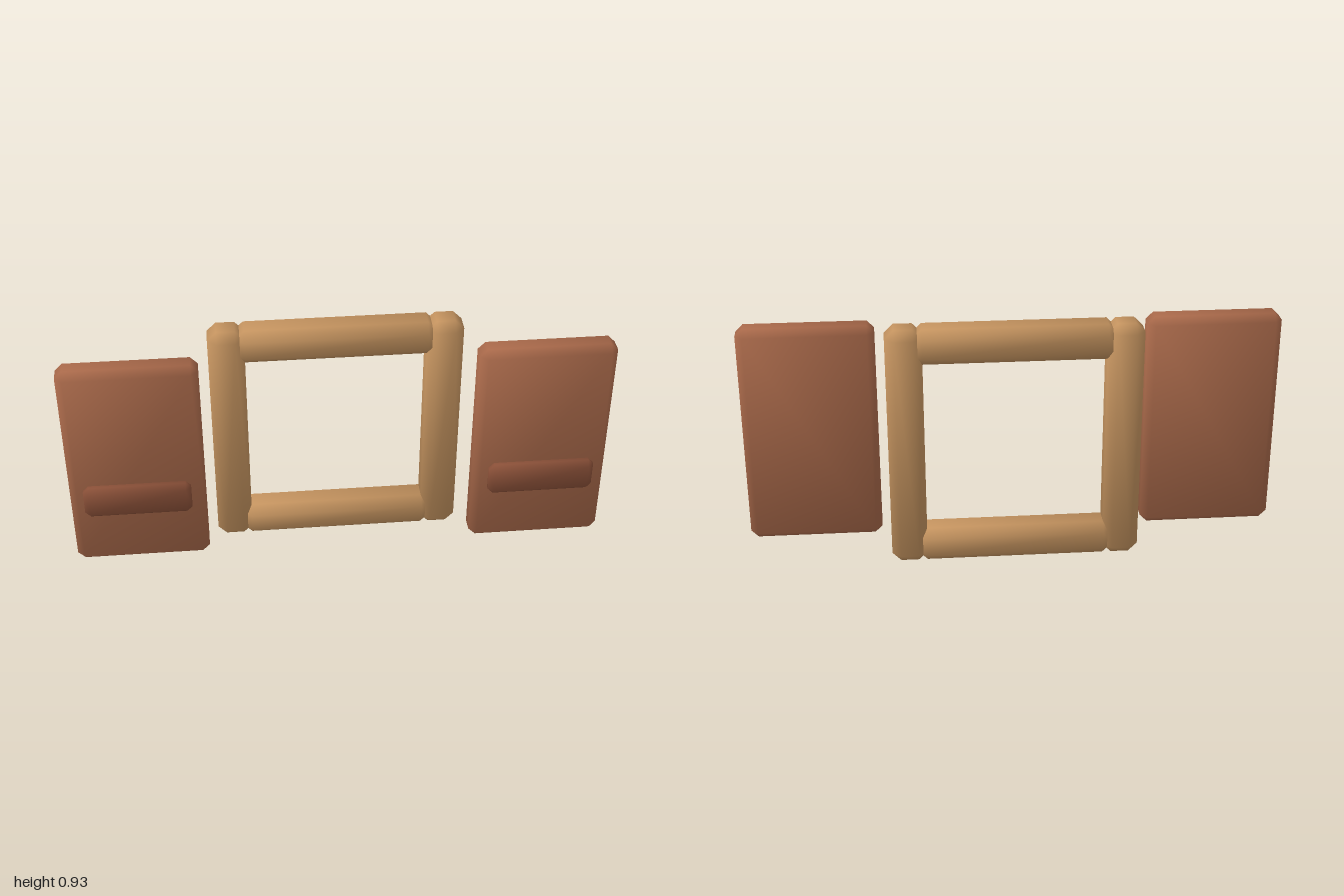
import * as THREE from 'three';
import { ConvexGeometry } from 'three/addons/geometries/ConvexGeometry.js';

// Box with a single 45 degree chamfer on every edge and softly blended normals
function chamferBox(w, h, d, bevel) {
  const half = [w / 2, h / 2, d / 2];
  const points = [];
  for (const sx of [-1, 1]) for (const sy of [-1, 1]) for (const sz of [-1, 1]) {
    for (let major = 0; major < 3; major++) {
      const p = [sx, sy, sz].map((s, i) => s * (half[i] - (i === major ? 0 : bevel)));
      points.push(new THREE.Vector3(...p));
    }
  }
  const geometry = new ConvexGeometry(points);
  const pos = geometry.attributes.position;
  const normal = geometry.attributes.normal;
  const n = new THREE.Vector3();
  for (let i = 0; i < pos.count; i++) {
    const p = [pos.getX(i), pos.getY(i), pos.getZ(i)];
    // the axis that reaches the outer face dominates the normal
    n.fromArray(p.map((v, k) => Math.sign(v) * (Math.abs(v) > half[k] - bevel / 2 ? 1 : 0.4)));
    n.normalize();
    normal.setXYZ(i, n.x, n.y, n.z);
  }
  return geometry;
}

export function createModel() {
  const model = new THREE.Group();
  model.name = 'windowWithShutters';

  const frameMat = new THREE.MeshStandardMaterial({ color: 0xc4935f });
  const shutterMat = new THREE.MeshStandardMaterial({ color: 0xa9694a });
  const slatMat = new THREE.MeshStandardMaterial({ color: 0x8a5038 });

  function add(parent, name, material, size, position, bevel) {
    const mesh = new THREE.Mesh(chamferBox(...size, bevel), material);
    mesh.name = name;
    mesh.position.set(...position);
    parent.add(mesh);
  }

  // Square window frame: two posts and two rails
  const frame = new THREE.Group();
  frame.name = 'windowFrame';
  model.add(frame);
  const frameZ = -0.089;
  for (const [side, s] of [['left', 1], ['right', -1]]) {
    add(frame, side + 'Post', frameMat, [0.133, 0.93, 0.133], [s * 0.398, 0.465, frameZ], 0.033);
  }
  for (const [name, y] of [['bottomRail', 0.0665], ['topRail', 0.8635]]) {
    add(frame, name, frameMat, [0.73, 0.133, 0.133], [0, y, frameZ], 0.033);
  }

  // A shutter panel with a cross slat on each side
  for (const [side, s] of [['left', 1], ['right', -1]]) {
    const shutter = new THREE.Group();
    shutter.name = side + 'Shutter';
    model.add(shutter);
    add(shutter, side + 'Panel', shutterMat, [0.5, 0.852, 0.106], [s * 0.75, 0.465, 0.06], 0.027);
    add(shutter, side + 'Slat', slatMat, [0.394, 0.131, 0.053], [s * 0.75, 0.345, 0.1305], 0.02);
  }
  return model;
}
